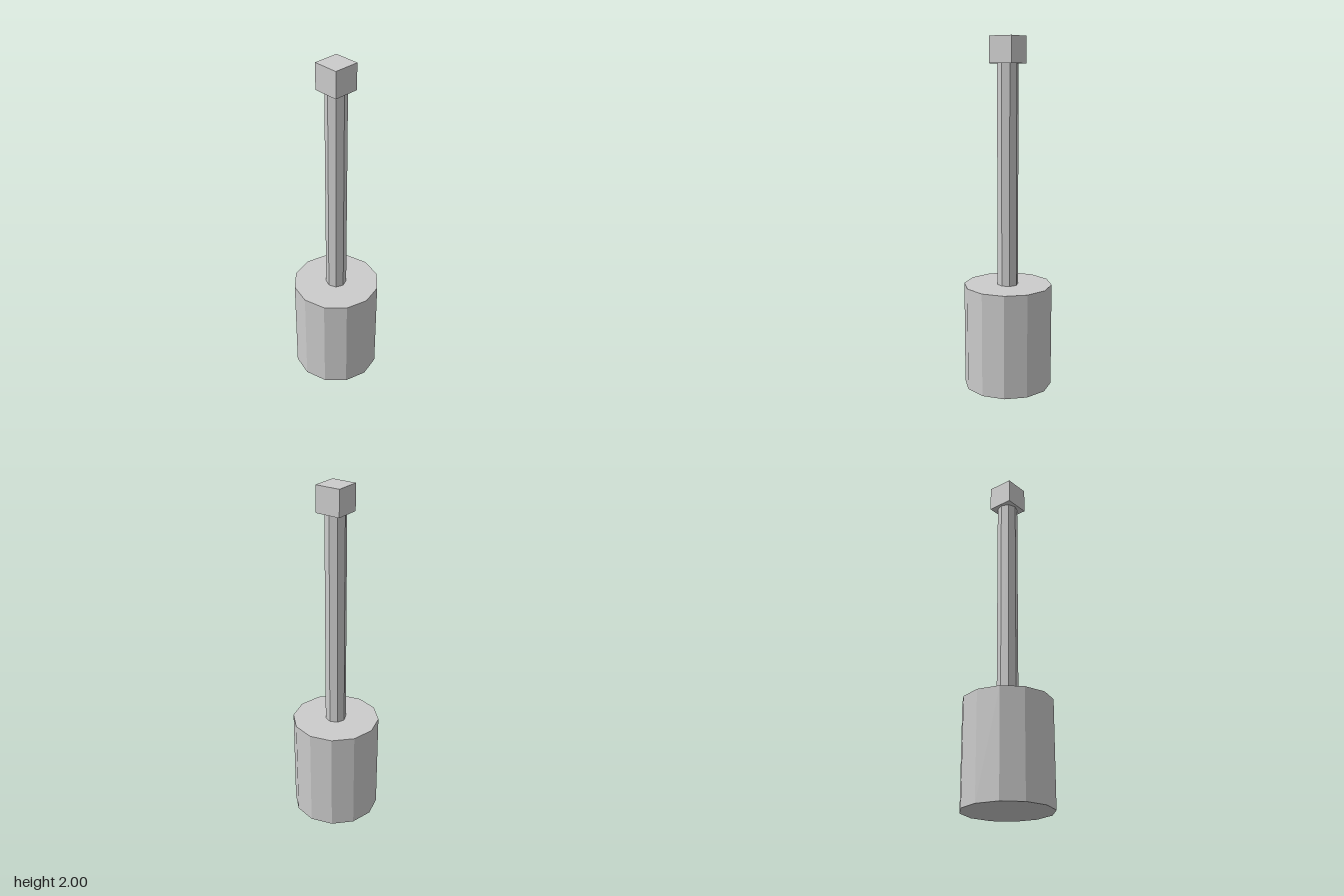
import * as THREE from 'three';

export function createModel() {
  const model = new THREE.Group();
  const grey = new THREE.MeshStandardMaterial({ color: 0xcccccc, flatShading: true });
  grey.name = 'light grey';

  // Adds a part whose underside sits at the given height
  function addPart(name, geometry, bottom, height) {
    const mesh = new THREE.Mesh(geometry, grey);
    mesh.name = name;
    mesh.position.y = bottom + height / 2;
    model.add(mesh);
  }

  // Heavy twelve-sided base
  addPart('base', new THREE.CylinderGeometry(0.253, 0.253, 0.6, 12), 0, 0.6);

  // Slim eight-sided shaft
  addPart('shaft', new THREE.CylinderGeometry(0.06, 0.06, 1.252, 8), 0.6, 1.252);

  // Cube cap
  addPart('cap', new THREE.BoxGeometry(0.148, 0.148, 0.148), 1.852, 0.148);

  return model;
}
